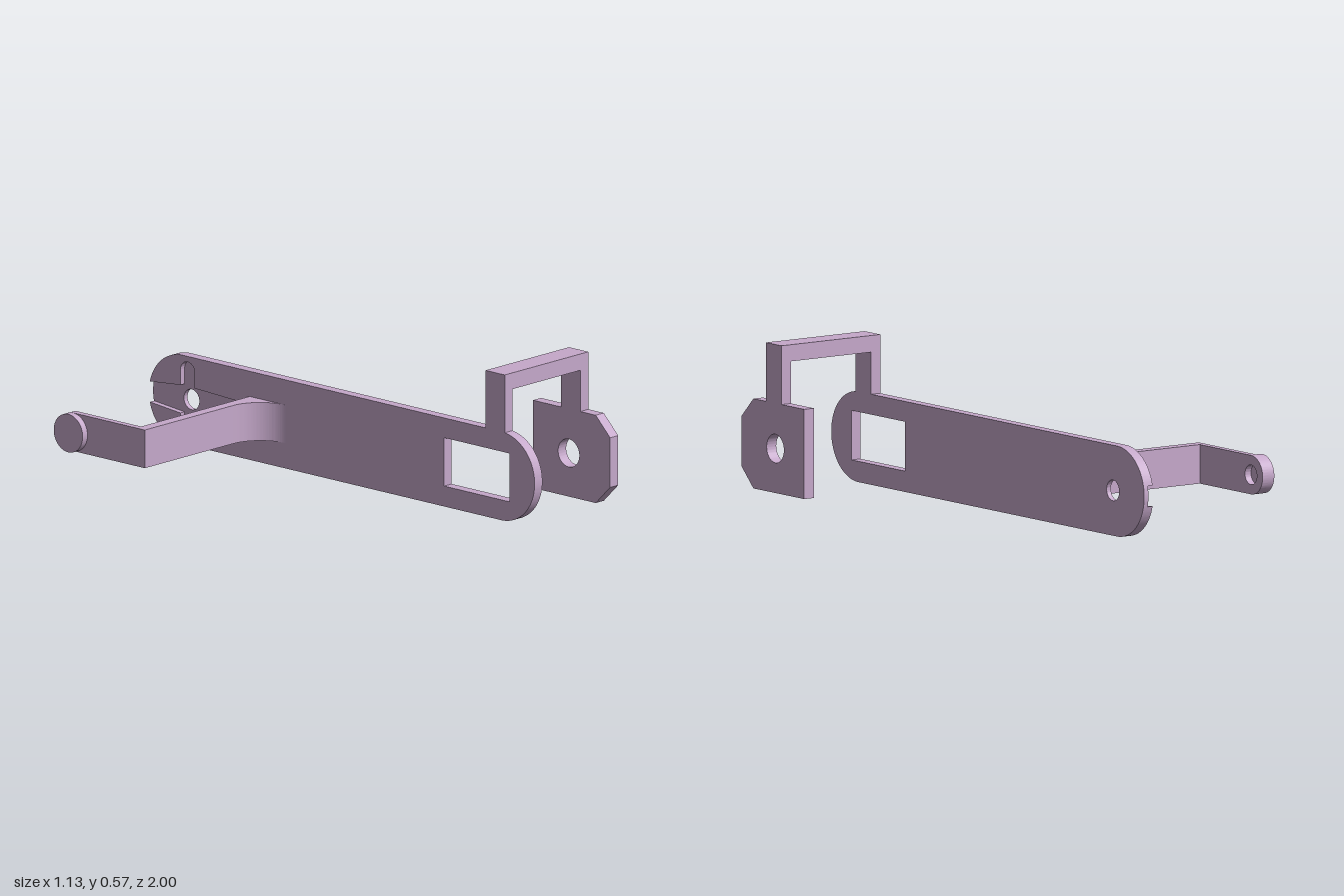
import * as THREE from 'three';
import { toCreasedNormals } from 'three/addons/utils/BufferGeometryUtils.js';

const lilac = new THREE.MeshStandardMaterial({ color: 0xc5a8ca });
lilac.name = 'lilac';

const MID = 0.174; // shared height of all the holes
const PI = Math.PI;

function mesh(name, geometry) {
  const m = new THREE.Mesh(geometry, lilac);
  m.name = name;
  return m;
}

// Side profile (u = -z, v = y) extruded from x0 to x1
function slab(name, shape, x0, x1) {
  const g = new THREE.ExtrudeGeometry(shape, { depth: x1 - x0, bevelEnabled: false, curveSegments: 32 });
  g.rotateY(PI / 2).translate(x0, 0, 0);
  return mesh(name, toCreasedNormals(g, 0.5));
}

function box(name, x0, x1, y0, y1, z0, z1) {
  const g = new THREE.BoxGeometry(x1 - x0, y1 - y0, z1 - z0);
  g.translate((x0 + x1) / 2, (y0 + y1) / 2, (z0 + z1) / 2);
  return mesh(name, g);
}

function roundHole(u, r) {
  return new THREE.Path().absarc(u, MID, r, 0, 2 * PI, true);
}

function polygon(points) {
  return new THREE.Shape(points.map(([u, v]) => new THREE.Vector2(u, v)));
}

// Long bar outline; the recessed version has a cross pocket open at the back end
function barShape(recessed) {
  const R = 0.174, c = 1 - R, s = new THREE.Shape();
  const a = recessed ? 0.234 : 0;
  s.moveTo(-c, 0);
  s.lineTo(c, 0);
  if (recessed) {
    const h = 0.8, w = 0.037;
    s.absarc(c, MID, R, -PI / 2, -a, false);
    s.lineTo(h + w, MID - 0.055);
    s.lineTo(h + w, MID - 0.115);
    s.absarc(h, MID - 0.115, w, 0, -PI, true);
    s.lineTo(h - w, MID - 0.055);
    s.lineTo(0.53, MID - 0.045);
    s.quadraticCurveTo(0.51, MID - 0.045, 0.51, MID - 0.025);
    s.lineTo(0.51, MID + 0.025);
    s.quadraticCurveTo(0.51, MID + 0.045, 0.53, MID + 0.045);
    s.lineTo(h - w, MID + 0.055);
    s.lineTo(h - w, MID + 0.115);
    s.absarc(h, MID + 0.115, w, PI, 0, true);
    s.lineTo(h + w, MID + 0.055);
    s.absarc(c, MID, R, a, PI / 2, false);
  } else {
    s.absarc(c, MID, R, -PI / 2, PI / 2, false);
    s.holes.push(roundHole(0.8, 0.04));
  }
  s.lineTo(-c, 2 * R);
  s.absarc(-c, MID, R, PI / 2, 1.5 * PI, false);
  // rectangular window near the front
  s.holes.push(new THREE.Path([[-0.87, 0.08], [-0.87, 0.27], [-0.53, 0.27], [-0.53, 0.08]]
    .map(([u, v]) => new THREE.Vector2(u, v))));
  return s;
}

export function createModel() {
  const model = new THREE.Group();
  model.name = 'leverArm';

  // Long bar in two layers
  model.add(slab('barOuterLayer', barShape(false), 0.12, 0.14));
  model.add(slab('barPocketLayer', barShape(true), 0.097, 0.12));

  // Bridge over to the front plate
  model.add(box('bridgePost', 0.097, 0.14, 0.34, 0.51, 0.745, 0.845));
  model.add(box('bridgeTop', 0.097, 0.563, 0.51, 0.574, 0.745, 0.845));

  // Chamfered plate with its own post
  const plate = polygon([
    [-0.925, 0.003], [-0.6, 0.003], [-0.6, 0.348], [-0.745, 0.348], [-0.745, 0.51],
    [-0.845, 0.51], [-0.845, 0.348], [-0.925, 0.348], [-1, 0.273], [-1, 0.078],
  ]);
  plate.holes.push(roundHole(-0.785, 0.055));
  model.add(slab('chamferedPlate', plate, 0.518, 0.563));

  // Side arm with a fillet where it meets the bar (plan profile: x, -z)
  const arm = new THREE.Shape();
  arm.moveTo(-0.51, 0.478);
  arm.lineTo(-0.51, 0.433);
  arm.lineTo(-0.043, 0.433);
  arm.absarc(-0.043, 0.293, 0.14, PI / 2, 0, true);
  arm.lineTo(0.097, 0.478);
  const armGeo = new THREE.ExtrudeGeometry(arm, { depth: 0.15, bevelEnabled: false, curveSegments: 32 });
  armGeo.rotateX(-PI / 2).translate(0, 0.099, 0);
  model.add(mesh('sideArm', toCreasedNormals(armGeo, 0.5)));

  // Return arm with a rounded end and a blind hole closed by the boss
  const back = new THREE.Shape();
  back.moveTo(0.433, MID - 0.075);
  back.lineTo(0.805, MID - 0.075);
  back.absarc(0.805, MID, 0.075, -PI / 2, PI / 2, false);
  back.lineTo(0.433, MID + 0.075);
  back.holes.push(roundHole(0.805, 0.038));
  model.add(slab('returnArm', back, -0.536, -0.508));

  const boss = new THREE.CylinderGeometry(0.075, 0.075, 0.027, 48);
  boss.rotateZ(PI / 2).translate(-0.5495, MID, -0.805);
  model.add(mesh('boss', boss));

  return model;
}
